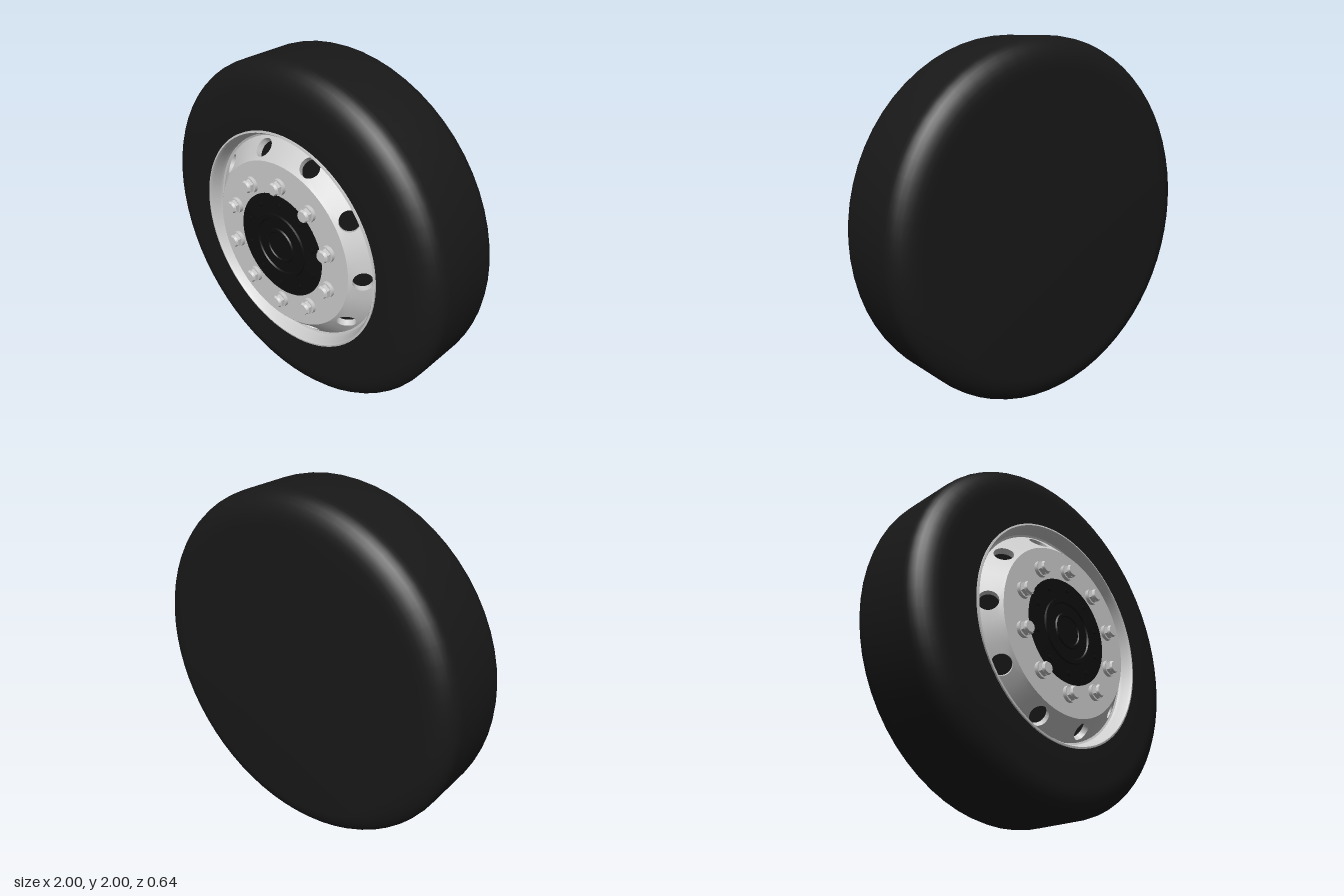
import * as THREE from 'three';
import { mergeGeometries, toCreasedNormals } from 'three/addons/utils/BufferGeometryUtils.js';

const rubber = new THREE.MeshStandardMaterial({ color: 0x181818 });
const hubBlack = new THREE.MeshStandardMaterial({ color: 0x0e0e0e });
const metal = new THREE.MeshStandardMaterial({ color: 0xcccccc });
const sheet = new THREE.MeshStandardMaterial({ color: 0xcccccc, side: THREE.DoubleSide });

// Revolve [radius, z] points around the wheel axis
function revolve(name, points, material, segments = 64, crease = 0.6) {
  const lathe = new THREE.LatheGeometry(points.map(([r, z]) => new THREE.Vector2(r, z)), segments);
  const mesh = new THREE.Mesh(toCreasedNormals(lathe.rotateX(Math.PI / 2), crease), material);
  mesh.name = name;
  return mesh;
}

// Quarter-ellipse tyre shoulder
function shoulder(r, z, dr, dz, from, to) {
  return Array.from({ length: 9 }, (_, i) => {
    const a = from + (to - from) * i / 8;
    return [r + dr * Math.cos(a), z + dz * Math.sin(a)];
  });
}

// One tenth of the sloped rim face: a cell with a round hole and its wall
function ventCell(centreAngle) {
  const n = 40, hole = 0.055, halfW = Math.PI / 10, halfH = 0.0742;
  const geo = new THREE.PlaneGeometry(1, 1, n, 3);
  const pos = geo.attributes.position;
  for (let i = 0; i < pos.count; i++) {
    const row = Math.floor(i / (n + 1));
    const phi = ((i % (n + 1)) % n) / n * Math.PI * 2;
    const c = Math.cos(phi), s = Math.sin(phi), m = Math.max(Math.abs(c), Math.abs(s));
    const t = Math.max(0, row - 1) / 2;
    const angle = centreAngle + THREE.MathUtils.lerp(c * hole / 0.5425, c / m * halfW, t);
    const slope = THREE.MathUtils.lerp(s * hole, s / m * halfH, t) * Math.SQRT1_2;
    const depth = row === 0 ? 0.025 : 0;
    const r = 0.5425 + slope - depth;
    pos.setXYZ(i, r * Math.cos(angle), r * Math.sin(angle), 0.21 - slope - depth);
  }
  return geo;
}

// Flanged hex wheel nut pointing along +z
function wheelNut() {
  const nut = new THREE.Group();
  nut.name = 'wheelNut';
  const parts = [
    ['washer', 0.046, 0.046, 0.025, 24, 0.2725],
    ['hexBody', 0.041, 0.041, 0.022, 6, 0.295],
    ['nutCap', 0.03, 0.036, 0.014, 24, 0.313],
  ];
  for (const [name, top, bottom, height, sides, z] of parts) {
    const geo = new THREE.CylinderGeometry(top, bottom, height, sides).rotateX(Math.PI / 2);
    const mesh = new THREE.Mesh(toCreasedNormals(geo, 0.6), metal);
    mesh.name = name;
    mesh.position.z = z;
    nut.add(mesh);
  }
  return nut;
}

export function createModel() {
  const wheel = new THREE.Group();
  wheel.name = 'wheel';
  wheel.position.y = 1;

  // Tyre with a closed back and a recess behind the rim
  wheel.add(revolve('tyre', [
    [0, -0.32],
    ...shoulder(0.84, -0.2, 0.16, 0.12, -Math.PI / 2, 0),
    ...shoulder(0.84, 0.11, 0.16, 0.12, 0, Math.PI / 2),
    [0.635, 0.228], [0.625, 0.12], [0.6, 0.02], [0, 0.02],
  ], rubber));

  // Rim lip, sloped face with vent holes, and bolting plate
  wheel.add(revolve('rimLip', [
    [0.64, 0.22], [0.642, 0.238], [0.632, 0.24], [0.622, 0.225], [0.615, 0.18], [0.606, 0.162], [0.592, 0.157],
  ], sheet, 80));
  const cells = Array.from({ length: 10 }, (_, i) => ventCell(i * Math.PI / 5));
  const face = new THREE.Mesh(toCreasedNormals(mergeGeometries(cells), 0.6), sheet);
  face.name = 'ventedRimFace';
  wheel.add(face);
  wheel.add(revolve('boltingPlate', [[0.494, 0.258], [0.488, 0.264], [0.305, 0.264], [0.305, 0.2]], sheet, 80));

  // Dark hub with raised rings
  wheel.add(revolve('hub', [
    [0.306, 0.2], [0.306, 0.266], [0.24, 0.268], [0.19, 0.27], [0.187, 0.28], [0.165, 0.28],
    [0.16, 0.272], [0.105, 0.272], [0.1, 0.28], [0.085, 0.28], [0.08, 0.274], [0, 0.274],
  ], hubBlack));

  // Ten wheel nuts and ten small hub bolts
  for (let i = 0; i < 10; i++) {
    const a = Math.PI / 2 + i * Math.PI / 5;
    const nut = wheelNut();
    nut.position.set(0.367 * Math.cos(a), 0.367 * Math.sin(a), 0);
    wheel.add(nut);
    const bolt = new THREE.Mesh(new THREE.CylinderGeometry(0.014, 0.014, 0.02, 6).rotateX(Math.PI / 2), hubBlack);
    bolt.name = 'hubBolt';
    bolt.position.set(0.25 * Math.cos(a), 0.25 * Math.sin(a), 0.27);
    wheel.add(bolt);
  }

  const model = new THREE.Group();
  model.name = 'truckWheel';
  model.add(wheel);
  return model;
}
